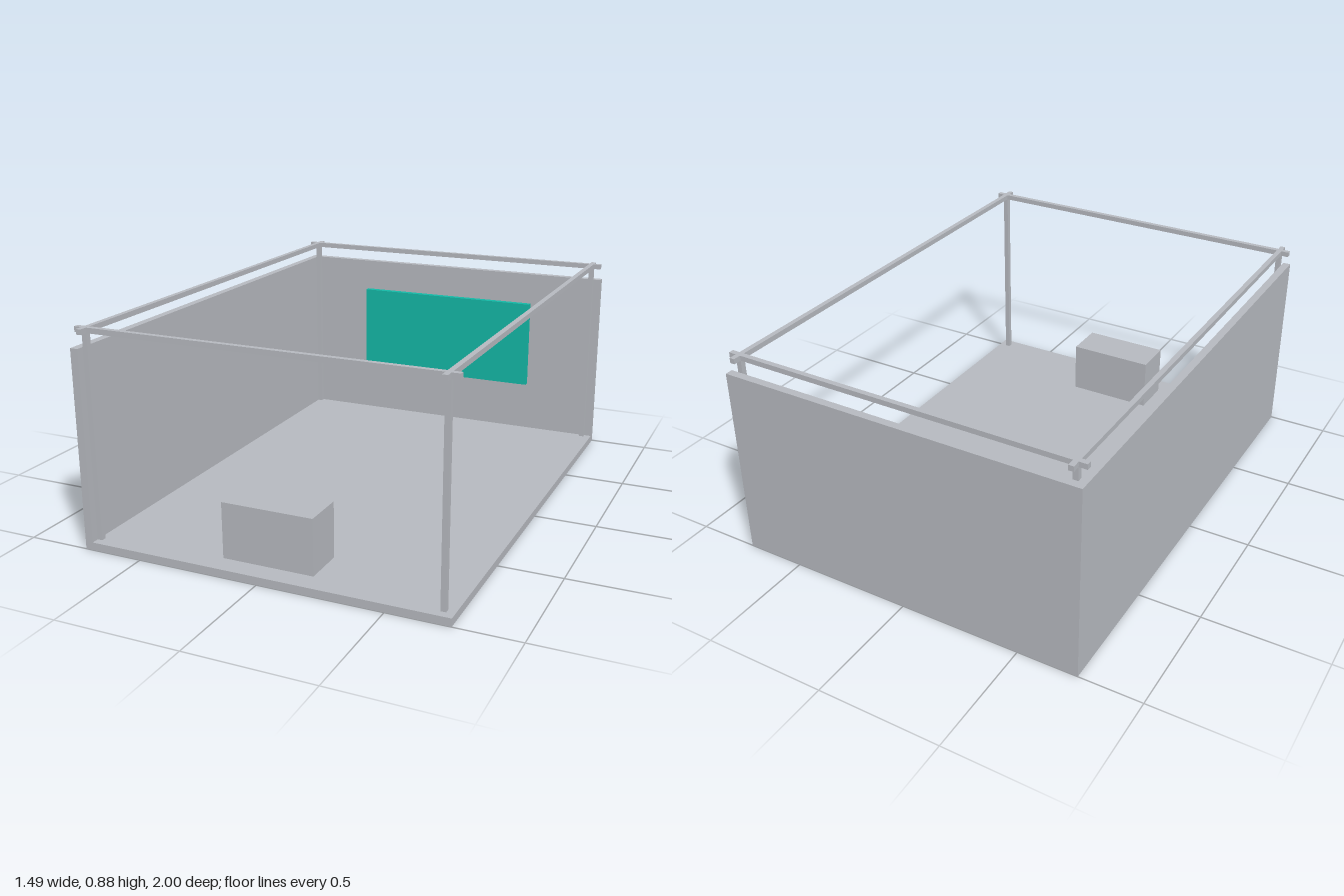
import * as THREE from 'three';

export function createModel() {
  const model = new THREE.Group();
  model.name = 'exhibitionBooth';

  const grey = new THREE.MeshStandardMaterial({ color: 0xb6b9bf });
  grey.name = 'light grey';
  const teal = new THREE.MeshStandardMaterial({ color: 0x14b8a6 });
  teal.name = 'teal';

  // Box given by its minimum and maximum corners
  function box(name, material, [x0, y0, z0], [x1, y1, z1]) {
    const mesh = new THREE.Mesh(new THREE.BoxGeometry(x1 - x0, y1 - y0, z1 - z0), material);
    mesh.position.set((x0 + x1) / 2, (y0 + y1) / 2, (z0 + z1) / 2);
    mesh.name = name;
    model.add(mesh);
  }

  const halfW = 0.746, halfD = 1;       // booth footprint
  const wall = 0.032, wallTop = 0.8;    // slab and wall thickness, wall height
  const bar = 0.021, frameTop = 0.875;  // frame bar thickness and height
  const barX = halfW - wall - bar / 2, barZ = halfD - wall - bar / 2;
  const h = bar / 2;

  // Floor slab and the two solid walls; the front and +x sides stay open
  box('floor', grey, [-halfW, 0, -halfD], [halfW, wall, halfD]);
  box('backWall', grey, [-halfW, wall, -halfD], [halfW, wallTop, -halfD + wall]);
  box('sideWall', grey, [-halfW, wall, -halfD + wall], [-halfW + wall, wallTop, halfD]);

  // Corner posts
  for (const sx of [-1, 1]) {
    for (const sz of [-1, 1]) {
      const x = sx * barX, z = sz * barZ;
      box('cornerPost', grey, [x - h, wall, z - h], [x + h, frameTop, z + h]);
    }
  }

  // Top rails, running past the posts to the edges of the footprint
  for (const s of [-1, 1]) {
    const x = s * barX, z = s * barZ;
    box('crossRail', grey, [-halfW, frameTop - bar, z - h], [halfW, frameTop, z + h]);
    box('sideRail', grey, [x - h, frameTop - bar, -halfD], [x + h, frameTop, halfD]);
  }

  // Display panel on the back wall and reception counter near the front
  box('displayPanel', teal, [-0.423, 0.265, -0.947], [0.423, 0.663, -0.919]);
  box('counter', grey, [-0.187, wall, 0.74], [0.187, 0.257, 0.913]);

  return model;
}
